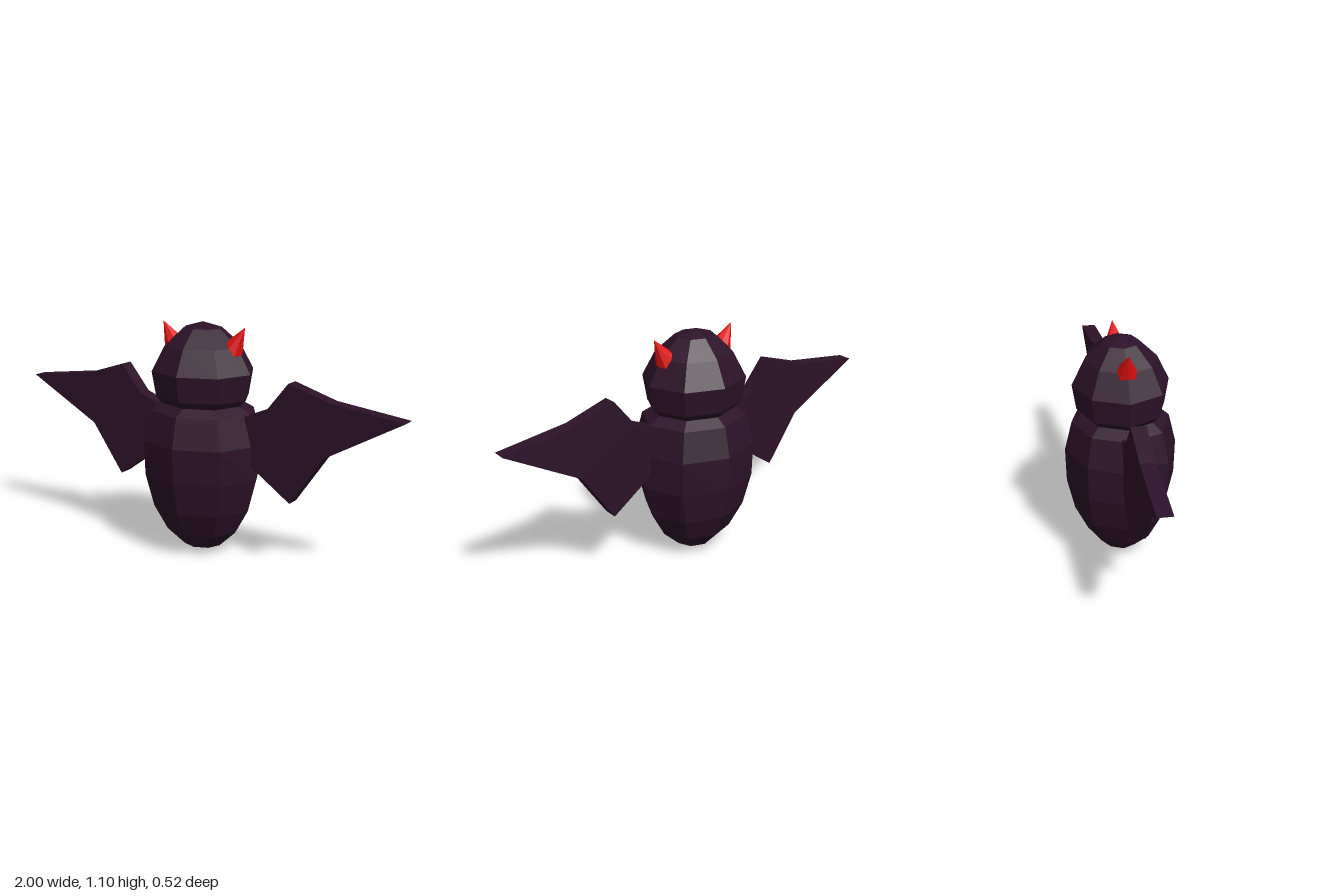
import * as THREE from 'three';

const darkMat = new THREE.MeshStandardMaterial({ color: 0x2d1229, flatShading: true });
const redMat = new THREE.MeshStandardMaterial({ color: 0xe01010, flatShading: true });

// Eight-sided turned form, slightly wider in x than in z
function turned(name, profile) {
  const points = profile.map(([r, y]) => new THREE.Vector2(r, y));
  const mesh = new THREE.Mesh(new THREE.LatheGeometry(points, 8), darkMat);
  mesh.name = name;
  mesh.scale.x = 1.125;
  mesh.position.x = -0.013;
  return mesh;
}

// Flat bat wing; the outline is mirrored for side = -1
function makeWing(side) {
  const outline = [
    [0.2, 0.675], [0.2, 0.505], [0.467, 0.315], [0.63, 0.55],
    [1, 0.755], [0.655, 0.8], [0.45, 0.865], [0.345, 0.735],
  ];
  const shape = new THREE.Shape(outline.map(([x, y]) => new THREE.Vector2(side * x, y)));
  const geometry = new THREE.ExtrudeGeometry(shape, { depth: 0.068, bevelEnabled: false });
  geometry.translate(0, 0, -0.034);
  const mesh = new THREE.Mesh(geometry, darkMat);
  mesh.name = side > 0 ? 'leftWing' : 'rightWing';
  return mesh;
}

// Pointed horn leaning outwards, its base sunk into the head
function makeHorn(side) {
  const geometry = new THREE.ConeGeometry(0.075, 0.18, 8);
  geometry.translate(0, -0.09, 0); // pivot at the tip
  const mesh = new THREE.Mesh(geometry, redMat);
  mesh.name = side > 0 ? 'leftHorn' : 'rightHorn';
  mesh.position.set(side * 0.22 - 0.01, 1.088, 0);
  mesh.rotation.z = -side * 0.54;
  return mesh;
}

export function createModel() {
  const model = new THREE.Group();
  model.name = 'bat';

  model.add(turned('body', [
    [0, 0], [0.083, 0.03], [0.16, 0.11], [0.22, 0.23], [0.257, 0.385],
    [0.262, 0.55], [0.228, 0.69], [0.172, 0.725], [0, 0.75],
  ]));
  model.add(turned('head', [
    [0, 0.7], [0.172, 0.72], [0.205, 0.755], [0.224, 0.875],
    [0.167, 0.992], [0.083, 1.073], [0, 1.1],
  ]));

  for (const side of [1, -1]) model.add(makeWing(side), makeHorn(side));
  return model;
}
